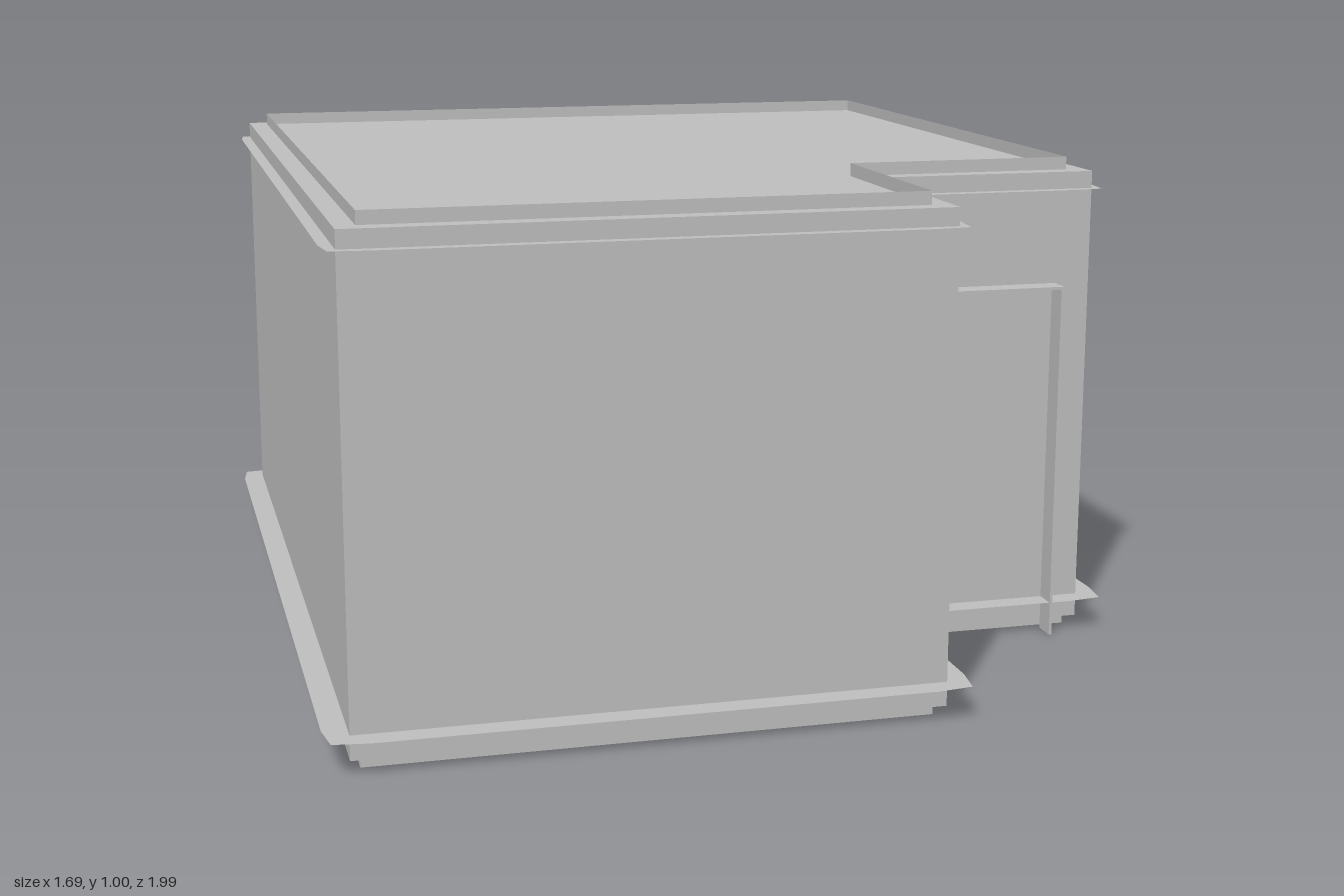
import * as THREE from 'three';

// L-shaped footprint in (x, z), grown outwards by d
function footprint(d) {
  const x = 0.8 + d, z = 0.95 + d, nx = 0.33 + d, nz = 0.5 + d;
  return [[-x, z], [nx, z], [nx, nz], [x, nz], [x, -z], [-x, -z]]
    .map(([a, b]) => new THREE.Vector2(a, -b));
}

// Ledge outline: full overhang along each side, pulled in slightly at corners
function flared(d, pull) {
  const outer = footprint(d), corner = footprint(d - pull), n = outer.length;
  const towards = (a, b) => a.clone().add(b.clone().sub(a).setLength(0.08));
  return outer.flatMap((p, i) => [
    towards(p, outer[(i + n - 1) % n]), corner[i], towards(p, outer[(i + 1) % n]),
  ]);
}

export function createModel() {
  const model = new THREE.Group();
  model.name = 'house';
  const plaster = new THREE.MeshStandardMaterial({ color: 0xbfbfbf, side: THREE.DoubleSide });
  plaster.name = 'grey plaster';

  const add = (parent, name, geometry) => {
    const mesh = new THREE.Mesh(geometry, plaster);
    mesh.name = name;
    parent.add(mesh);
    return mesh;
  };
  const block = (name, d, y0, y1) => {
    const g = new THREE.ExtrudeGeometry(new THREE.Shape(footprint(d)), { depth: y1 - y0, bevelEnabled: false });
    add(model, name, g.rotateX(-Math.PI / 2).translate(0, y0, 0));
  };
  const ledge = (name, d, pull, y) => {
    const shape = new THREE.Shape(flared(d, pull));
    shape.holes.push(new THREE.Path(footprint(-0.002)));
    add(model, name, new THREE.ShapeGeometry(shape).rotateX(-Math.PI / 2).translate(0, y, 0));
  };

  // Floor slab, walls and flat roof
  block('floorSlab', -0.02, 0, 0.022);
  block('walls', 0, 0.022, 0.975);

  // Thin projecting mouldings
  ledge('baseLedge', 0.047, 0.01, 0.07);
  ledge('crownLedge', 0.024, 0.008, 0.94);

  // Thin upright rim around the roof
  const rim = new THREE.Group();
  rim.name = 'roofRim';
  model.add(rim);
  const edge = footprint(-0.04);
  edge.forEach((a, i) => {
    const b = edge[(i + 1) % edge.length];
    const mesh = add(rim, 'rimSide', new THREE.PlaneGeometry(a.distanceTo(b), 0.026));
    mesh.position.set((a.x + b.x) / 2, 0.988, -(a.y + b.y) / 2);
    mesh.rotation.y = Math.atan2(b.y - a.y, b.x - a.x);
  });

  // Frame pieces stand out from a wall lying in the local z = 0 plane
  const T = 0.006;
  const bar = (parent, name, x, y, w, h, depth) =>
    add(parent, name, new THREE.BoxGeometry(w, h, depth).translate(x, y, depth / 2));

  // Door frame in the notch
  const door = new THREE.Group();
  door.name = 'doorFrame';
  door.position.set(0.563, 0, 0.5);
  for (const s of [-1, 1]) bar(door, 'doorJamb', s * 0.16, 0.371, T, 0.742, 0.048);
  bar(door, 'doorHead', 0, 0.742, 0.326, T, 0.048);
  model.add(door);

  // Two-part window frames
  const makeWindow = (name, w, x, z, turn) => {
    const frame = new THREE.Group();
    frame.name = name;
    frame.position.set(x, 0, z);
    frame.rotation.y = turn;
    for (const s of [-1, 1]) {
      bar(frame, 'lowerJamb', s * w / 2, 0.43, T, 0.21, 0.038);
      bar(frame, 'upperJamb', s * (w / 2 + 0.006), 0.638, T, 0.206, 0.042);
    }
    bar(frame, 'sill', 0, 0.328, w + T, T, 0.04);
    bar(frame, 'middleRail', 0, 0.537, w + 0.018, T, 0.04);
    bar(frame, 'windowHead', 0, 0.739, w + 0.018, T, 0.043);
    model.add(frame);
  };
  makeWindow('leftWindow', 0.455, 0.8, -0.225, Math.PI / 2);
  makeWindow('backWindow', 0.49, -0.045, -0.95, Math.PI);

  return model;
}
